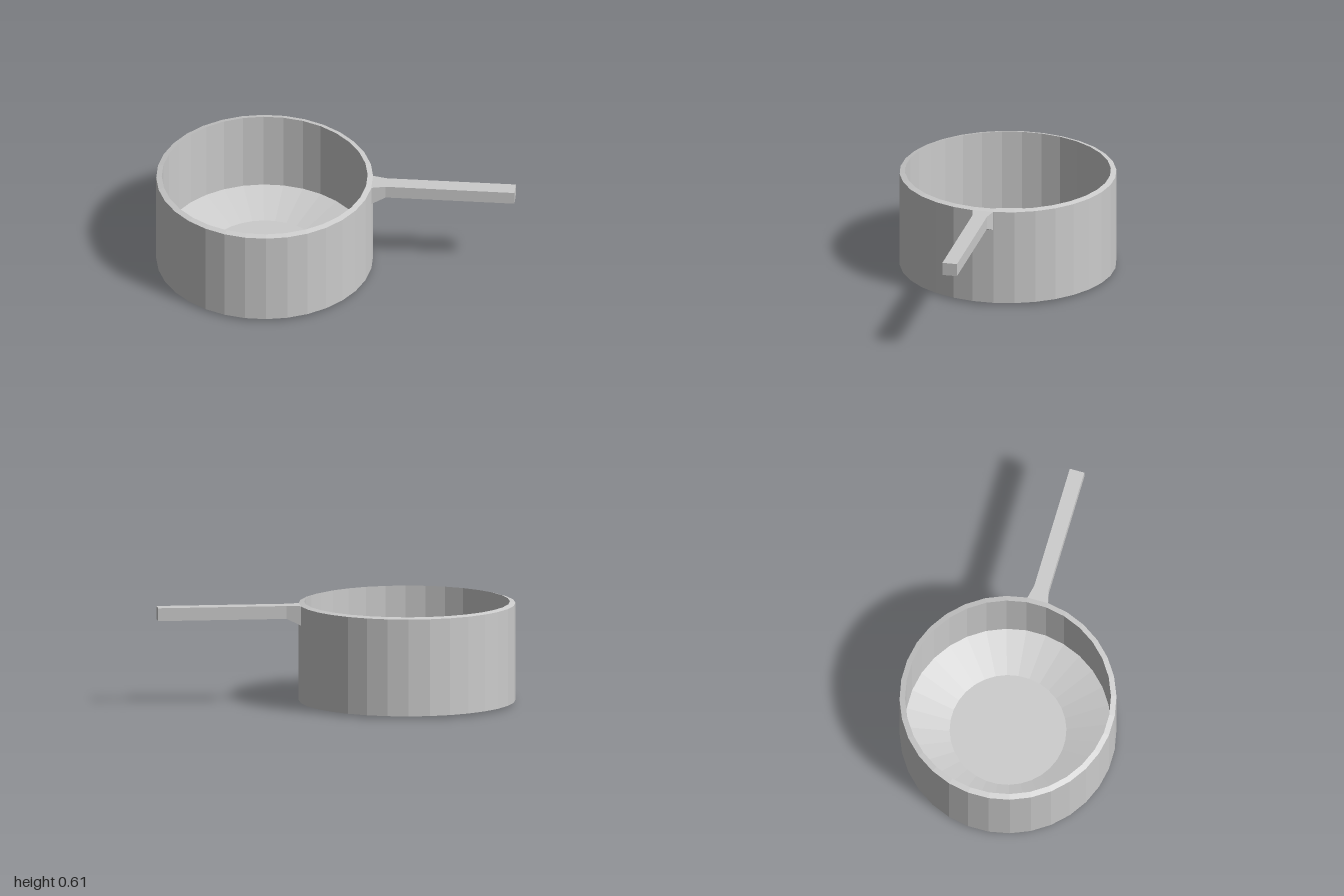
import * as THREE from 'three';

const material = new THREE.MeshStandardMaterial({ color: 0xcccccc, flatShading: true });
const SIDES = 32;

function addFlatMesh(group, geometry, name) {
  const flat = geometry.index ? geometry.toNonIndexed() : geometry;
  flat.computeVertexNormals();
  const mesh = new THREE.Mesh(flat, material);
  mesh.name = name;
  group.add(mesh);
  return mesh;
}

// Skin rectangular cross-sections set along +x, closed at the far end
function loftBars(sections) {
  const positions = [];
  const indices = [];
  for (const { x, half, bottom, top } of sections) {
    positions.push(x, bottom, half, x, bottom, -half, x, top, -half, x, top, half);
  }
  const quad = (a, b, c, d) => indices.push(a, b, c, a, c, d);
  for (let s = 0; s < sections.length - 1; s++) {
    for (let k = 0; k < 4; k++) {
      const a = s * 4 + k;
      const b = s * 4 + (k + 1) % 4;
      quad(a, b, b + 4, a + 4);
    }
  }
  const e = (sections.length - 1) * 4;
  quad(e, e + 1, e + 2, e + 3);
  const geometry = new THREE.BufferGeometry();
  geometry.setAttribute('position', new THREE.Float32BufferAttribute(positions, 3));
  geometry.setIndex(indices);
  return geometry;
}

export function createModel() {
  const saucepan = new THREE.Group();
  saucepan.name = 'saucepan';
  saucepan.position.set(-0.35, 0, -0.05);

  // Bowl: base, outer wall, bevelled rim, inner wall, dished floor
  const profile = [
    [0, 0], [0.51, 0], [0.65, 0.015], [0.65, 0.602],
    [0.617, 0.611], [0.617, 0.117], [0.35, 0.04], [0, 0.04],
  ].map(([r, y]) => new THREE.Vector2(r, y));
  addFlatMesh(saucepan, new THREE.LatheGeometry(profile, SIDES), 'bowl');

  // Handle: flared root on one wall facet, then a straight bar
  const handle = addFlatMesh(saucepan, loftBars([
    { x: 0.646, half: 0.0635, bottom: 0.485, top: 0.603 },
    { x: 0.731, half: 0.045, bottom: 0.525, top: 0.603 },
    { x: 1.506, half: 0.045, bottom: 0.525, top: 0.603 },
  ]), 'handle');
  handle.rotation.y = -2.5 * (2 * Math.PI / SIDES);

  const model = new THREE.Group();
  model.name = 'model';
  model.add(saucepan);
  return model;
}
